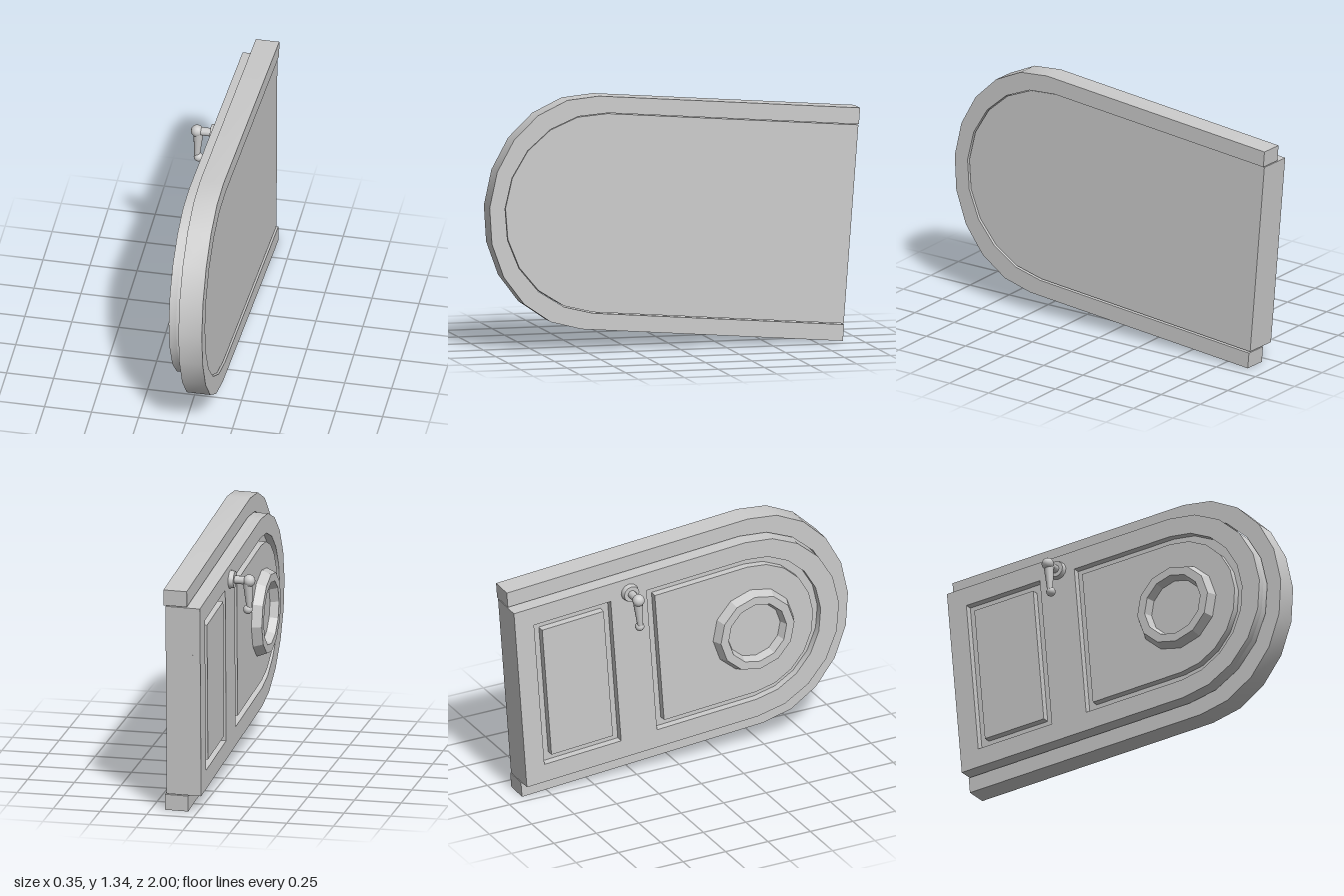
import * as THREE from 'three';
import { toCreasedNormals } from 'three/addons/utils/BufferGeometryUtils.js';

const material = new THREE.MeshStandardMaterial({ color: 0xcccccc, side: THREE.DoubleSide });
const MID = 0.614; // centre line of the door's width

// Straight-sided outline closed by a half ellipse of ten segments
function archPoints(start, spring, half, rise) {
  const pts = [new THREE.Vector2(start, MID - half)];
  for (let i = 0; i <= 10; i++) {
    const a = -Math.PI / 2 + (i * Math.PI) / 10;
    pts.push(new THREE.Vector2(spring + rise * Math.cos(a), MID + half * Math.sin(a)));
  }
  pts.push(new THREE.Vector2(start, MID + half));
  return pts;
}

function rectPoints(u0, u1, half) {
  return [[u0, -half], [u1, -half], [u1, half], [u0, half]]
    .map(([u, v]) => new THREE.Vector2(u, MID + v));
}

function add(parent, name, geometry, x = 0, y = 0, z = 0) {
  const mesh = new THREE.Mesh(geometry, material);
  mesh.name = name;
  mesh.position.set(x, y, z);
  parent.add(mesh);
  return mesh;
}

// Flat slab between two depths
function slab(parent, name, points, z0, z1, holes = []) {
  const shape = new THREE.Shape(points);
  holes.forEach((h) => shape.holes.push(new THREE.Path(h)));
  const geo = new THREE.ExtrudeGeometry(shape, { depth: z1 - z0, bevelEnabled: false });
  return add(parent, name, toCreasedNormals(geo, 0.6), 0, 0, z0);
}

export function createModel() {
  const model = new THREE.Group();
  model.name = 'archedDoor';

  // Door space: x along the door to its arch, y across it, z out of its panelled face
  const door = new THREE.Group();
  door.name = 'leaningDoor';
  const along = new THREE.Vector3(-0.0167, 0.079, 0.997).normalize();
  const across = new THREE.Vector3(-0.0112, 0.997, -0.079).normalize();
  const out = new THREE.Vector3().crossVectors(along, across).normalize();
  door.quaternion.setFromRotationMatrix(new THREE.Matrix4().makeBasis(along, across, out));
  door.position.set(0.05, 0, -0.9);
  model.add(door);

  // Surrounding frame, open at the foot
  const outer = archPoints(0, 1.412, 0.614, 0.543);
  const inner = archPoints(0, 1.355, 0.528, 0.517).reverse();
  slab(door, 'frame', [...outer, ...inner], -0.125, 0);

  // Door leaf: solid back and a front layer with two sunken openings
  const floor = 0.03, face = 0.07;
  const leaf = archPoints(0, 1.355, 0.523, 0.512);
  slab(door, 'doorBack', leaf, -0.115, floor);
  slab(door, 'doorFront', leaf, floor, face, [
    rectPoints(0.11, 0.56, 0.42),
    archPoints(0.77, 1.355, 0.42, 0.405),
  ]);

  // Raised panels inside the openings
  slab(door, 'lowerPanel', rectPoints(0.155, 0.515, 0.375), floor, face);
  slab(door, 'upperPanel', archPoints(0.815, 1.355, 0.375, 0.36), floor, face);

  // Round window
  const ring = new THREE.LatheGeometry(
    [[0.24, 0.06], [0.215, 0.121], [0.17, 0.121], [0.152, 0.07]]
      .map(([r, y]) => new THREE.Vector2(r, y)), 12);
  ring.rotateX(Math.PI / 2);
  add(door, 'windowRing', toCreasedNormals(ring, 0.45), 1.365, MID, 0);
  add(door, 'windowPane', new THREE.CircleGeometry(0.165, 12), 1.365, MID, 0.076);

  // Lever handle
  const handle = new THREE.Group();
  handle.name = 'handle';
  handle.position.set(0.672, 1.055, 0);
  door.add(handle);
  const rose = new THREE.CylinderGeometry(0.044, 0.05, 0.028, 12).rotateX(Math.PI / 2);
  add(handle, 'handleRose', toCreasedNormals(rose, 0.6), 0, 0, 0.082);
  add(handle, 'handleShaft', new THREE.CylinderGeometry(0.022, 0.022, 0.08, 12).rotateX(Math.PI / 2), 0, 0, 0.13);
  add(handle, 'handleBall', new THREE.SphereGeometry(0.033, 12, 8), 0, 0, 0.172);
  const lever = add(handle, 'handleLever', new THREE.CylinderGeometry(0.027, 0.015, 0.14, 12), 0, -0.08, 0.168);
  lever.rotation.x = -0.05;
  add(handle, 'handleTip', new THREE.SphereGeometry(0.025, 12, 8), 0, -0.16, 0.164);

  return model;
}
